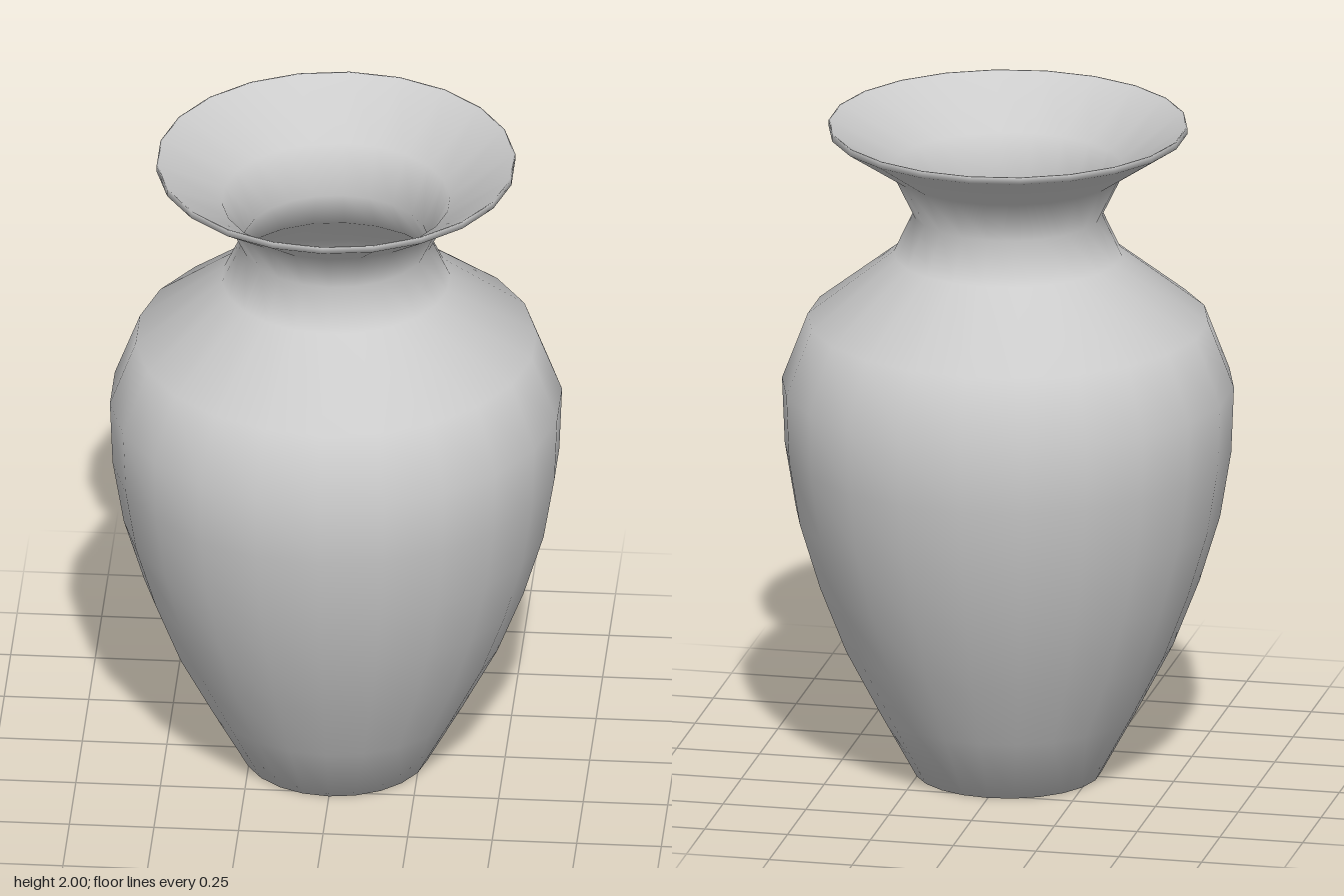
import * as THREE from 'three';

const SIDES = 22;
const WALL = 0.005;

// Outer silhouette as [radius, height], foot to lip
const OUTER = [
  [0.275, 0], [0.384, 0.2], [0.488, 0.4], [0.566, 0.6], [0.627, 0.8],
  [0.66, 1.0], [0.668, 1.2], [0.592, 1.4], [0.337, 1.6], [0.279, 1.725],
  [0.342, 1.855], [0.53, 1.98],
];

export function createModel() {
  const group = new THREE.Group();
  group.name = 'vase';
  const material = new THREE.MeshStandardMaterial({ color: 0xcccccc, side: THREE.DoubleSide });

  // Inner wall follows the outer one, back down to the floor
  const inner = OUTER.slice(1, -1).reverse().map(([r, y]) => [r - WALL, y + (y > 1.8 ? 0.012 : 0)]);
  const profile = [
    [0, 0],
    ...OUTER,
    [0.53, 2], [0.525, 2], // lip
    ...inner,
    [0.275 - WALL, WALL], [0, WALL], // inside floor
  ].map(([r, y]) => new THREE.Vector2(r, y));

  const body = new THREE.Mesh(new THREE.LatheGeometry(profile, SIDES), material);
  body.name = 'vaseBody';
  group.add(body);
  return group;
}
